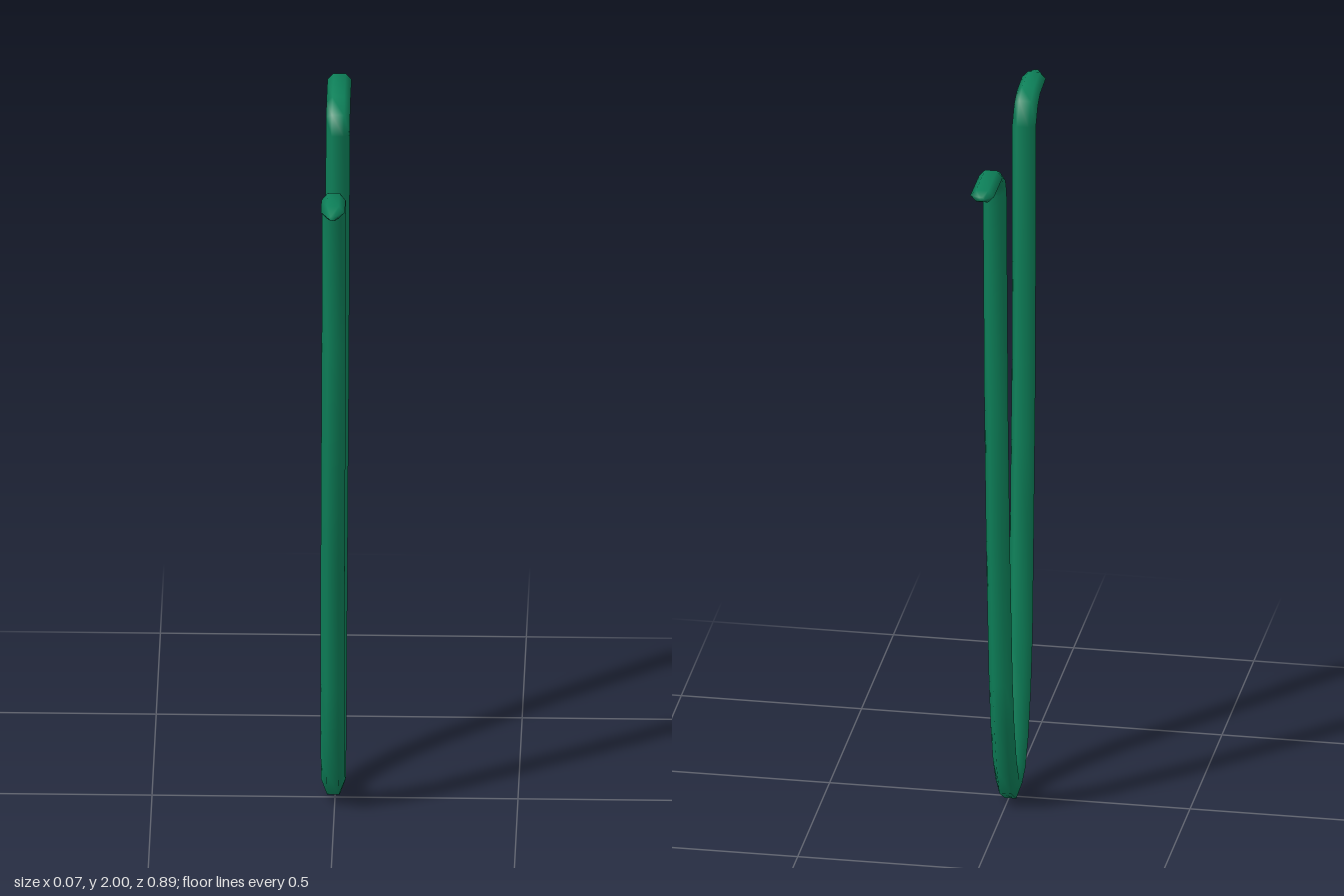
import * as THREE from 'three';

// Centre line and thickness of the bent rod: [z, y, half thickness in the bend plane]
const PATH = [
  [0.395, 1.978, 0.018], [0.308, 1.972, 0.019], [0.272, 1.953, 0.021], [0.24, 1.902, 0.024],
  [0.232, 1.5, 0.025], [0.221, 1.21, 0.026], [0.2, 0.98, 0.026], [0.182, 0.78, 0.027],
  [0.15, 0.42, 0.029], [0.122, 0.27, 0.031], [0.081, 0.145, 0.036], [0.038, 0.075, 0.043],
  [-0.013, 0.05, 0.048],
  [-0.062, 0.08, 0.043], [-0.102, 0.155, 0.036], [-0.137, 0.27, 0.031], [-0.163, 0.42, 0.028],
  [-0.196, 0.85, 0.026], [-0.209, 1.25, 0.025], [-0.218, 1.912, 0.024],
  [-0.239, 1.955, 0.021], [-0.282, 1.981, 0.018], [-0.418, 1.983, 0.017],
];
const SIDES = 6, HALF_WIDTH = 0.033;

function rodGeometry() {
  const pos = [], index = [], n = PATH.length;
  // One hexagonal cross-section per path point, square to the path
  PATH.forEach(([z, y, h], i) => {
    const a = PATH[Math.max(i - 1, 0)], b = PATH[Math.min(i + 1, n - 1)];
    const inDir = new THREE.Vector2(z - a[0], y - a[1]).normalize();
    const outDir = new THREE.Vector2(b[0] - z, b[1] - y).normalize();
    const t = inDir.add(outDir).normalize();
    const x0 = 0.003 - 0.007 * (1 - THREE.MathUtils.smoothstep(y, 0.2, 1.9));
    for (let k = 0; k < SIDES; k++) {
      const ang = (k / SIDES) * Math.PI * 2;
      const s = Math.sin(ang) / Math.sin(Math.PI / 3) * h;
      pos.push(x0 + Math.cos(ang) * HALF_WIDTH, y + t.x * s, z - t.y * s);
    }
  });
  for (let i = 0; i < n - 1; i++) {
    for (let k = 0; k < SIDES; k++) {
      const a = i * SIDES + k, b = i * SIDES + (k + 1) % SIDES;
      index.push(a, a + SIDES, b, b, a + SIDES, b + SIDES);
    }
  }
  // Blunt pointed ends: a small ring, then the apex
  const addTip = (ring, apexZ, flip) => {
    const [z, y, h] = PATH[ring];
    const base = ring * SIDES, small = pos.length / 3;
    for (let k = 0; k < SIDES; k++) {
      const p = (base + k) * 3;
      pos.push(0.003 + (pos[p] - 0.003) * 0.3, y + (pos[p + 1] - y) * 0.35, z + (apexZ - z) * 0.85);
    }
    const apex = pos.length / 3;
    pos.push(0.003, y, apexZ);
    const tri = (a, b, c) => (flip ? index.push(a, c, b) : index.push(a, b, c));
    for (let k = 0; k < SIDES; k++) {
      const j = (k + 1) % SIDES;
      tri(base + k, base + j, small + k);
      tri(base + j, small + j, small + k);
      tri(small + k, small + j, apex);
    }
  };
  addTip(0, 0.443, false);
  addTip(n - 1, -0.443, true);

  const g = new THREE.BufferGeometry();
  g.setAttribute('position', new THREE.Float32BufferAttribute(pos, 3));
  g.setIndex(index);
  // Keep the triangles facing outward whichever way the path runs
  const p = g.attributes.position, A = new THREE.Vector3(), B = new THREE.Vector3(), C = new THREE.Vector3();
  let volume = 0;
  for (let i = 0; i < index.length; i += 3) {
    A.fromBufferAttribute(p, index[i]);
    B.fromBufferAttribute(p, index[i + 1]);
    C.fromBufferAttribute(p, index[i + 2]);
    volume += A.dot(B.cross(C));
  }
  if (volume < 0) g.setIndex(index.reverse());
  g.computeVertexNormals();
  return g;
}

export function createModel() {
  const group = new THREE.Group();
  group.name = 'bentRodHook';
  const rod = new THREE.Mesh(rodGeometry(), new THREE.MeshStandardMaterial({ color: 0x0d8059 }));
  rod.name = 'rod';
  group.add(rod);
  return group;
}
